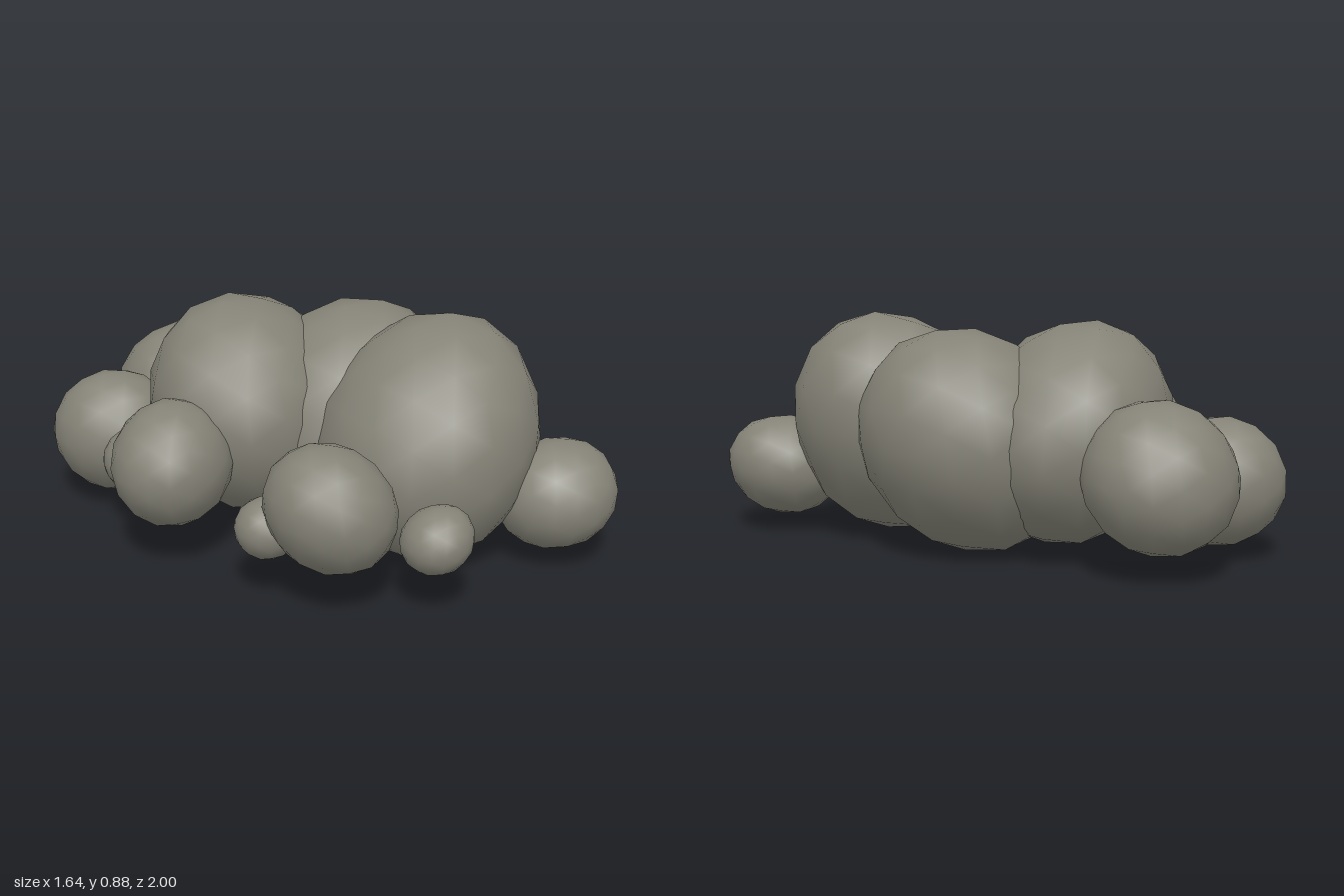
import * as THREE from 'three';
import { mergeVertices } from 'three/addons/utils/BufferGeometryUtils.js';

const material = new THREE.MeshStandardMaterial({ color: 0x858377 });

// Smooth low-poly ellipsoid with half-extents r, leaning by the
// correlations lean = [x with y, x with z, z with y].
// Each bump [dx, dy, dz, amount] swells (or dents) the side facing d.
function puff(name, centre, [rx, ry, rz], [xy, xz, zy], bumps = []) {
  let geo = new THREE.IcosahedronGeometry(1, 2);
  geo.deleteAttribute('uv');
  geo.deleteAttribute('normal');
  geo = mergeVertices(geo, 1e-4);
  const p = geo.attributes.position;
  const kx = Math.sqrt(1 - xy * xy - xz * xz);
  const kz = Math.sqrt(1 - zy * zy);
  const v = new THREE.Vector3(), d = new THREE.Vector3();
  for (let i = 0; i < p.count; i++) {
    v.fromBufferAttribute(p, i);
    let swell = 1;
    for (const [dx, dy, dz, amount] of bumps) {
      const facing = Math.max(0, v.dot(d.set(dx, dy, dz).normalize()));
      swell += amount * facing ** 4;
    }
    p.setXYZ(i,
      rx * swell * (kx * v.x + xy * v.y + xz * v.z),
      ry * swell * v.y,
      rz * swell * (kz * v.z + zy * v.y));
  }
  geo.computeVertexNormals();
  const mesh = new THREE.Mesh(geo, material);
  mesh.name = name;
  mesh.position.set(...centre);
  return mesh;
}

export function createModel() {
  const group = new THREE.Group();
  group.name = 'puffCluster';
  group.add(
    // Three large overlapping bodies
    puff('frontBody', [0.25, 0.45, 0.42], [0.41, 0.43, 0.415], [0.1, 0, -0.08],
      [[1, 1, 0, 0.08], [-1, 1, 0, -0.09], [1, -1, 0, 0.03]]),
    puff('middleBody', [0.18, 0.422, 0], [0.42, 0.425, 0.435], [0.15, 0, 0],
      [[-1, -1, 0, -0.04]]),
    puff('rearBody', [-0.14, 0.45, -0.195], [0.41, 0.41, 0.43], [-0.08, -0.18, 0],
      [[-1, 1, 0, 0.05], [1, 0, -1, 0.06], [0, 1, -1, 0.04]]),
    // Medium puffs around the edge
    puff('backPuff', [-0.16, 0.36, -0.72], [0.28, 0.27, 0.28], [0, 0, 0.1]),
    puff('backRightPuff', [-0.54, 0.29, -0.57], [0.24, 0.24, 0.235], [0, 0.1, 0]),
    puff('rightPuff', [-0.585, 0.38, 0.035], [0.235, 0.23, 0.24], [0, -0.15, 0]),
    puff('frontRightPuff', [-0.295, 0.373, 0.655], [0.228, 0.23, 0.245], [-0.13, 0, 0]),
    puff('frontLeftPuff', [0.605, 0.26, 0.735], [0.215, 0.195, 0.22], [0.08, 0.08, 0],
      [[1, 1, 0, 0.06], [-1, 1, 0, 0.06]]),
    // Small puffs tucked in between
    puff('smallRightPuff', [-0.595, 0.29, -0.25], [0.13, 0.125, 0.13], [0, 0, 0]),
    puff('smallFrontRightPuff', [-0.445, 0.27, 0.485], [0.115, 0.11, 0.115], [0, 0, 0]),
    puff('smallFrontPuff', [-0.005, 0.275, 0.87], [0.125, 0.115, 0.13], [0.1, 0, 0],
      [[1, 1, 0, 0.08]]),
  );
  return group;
}
